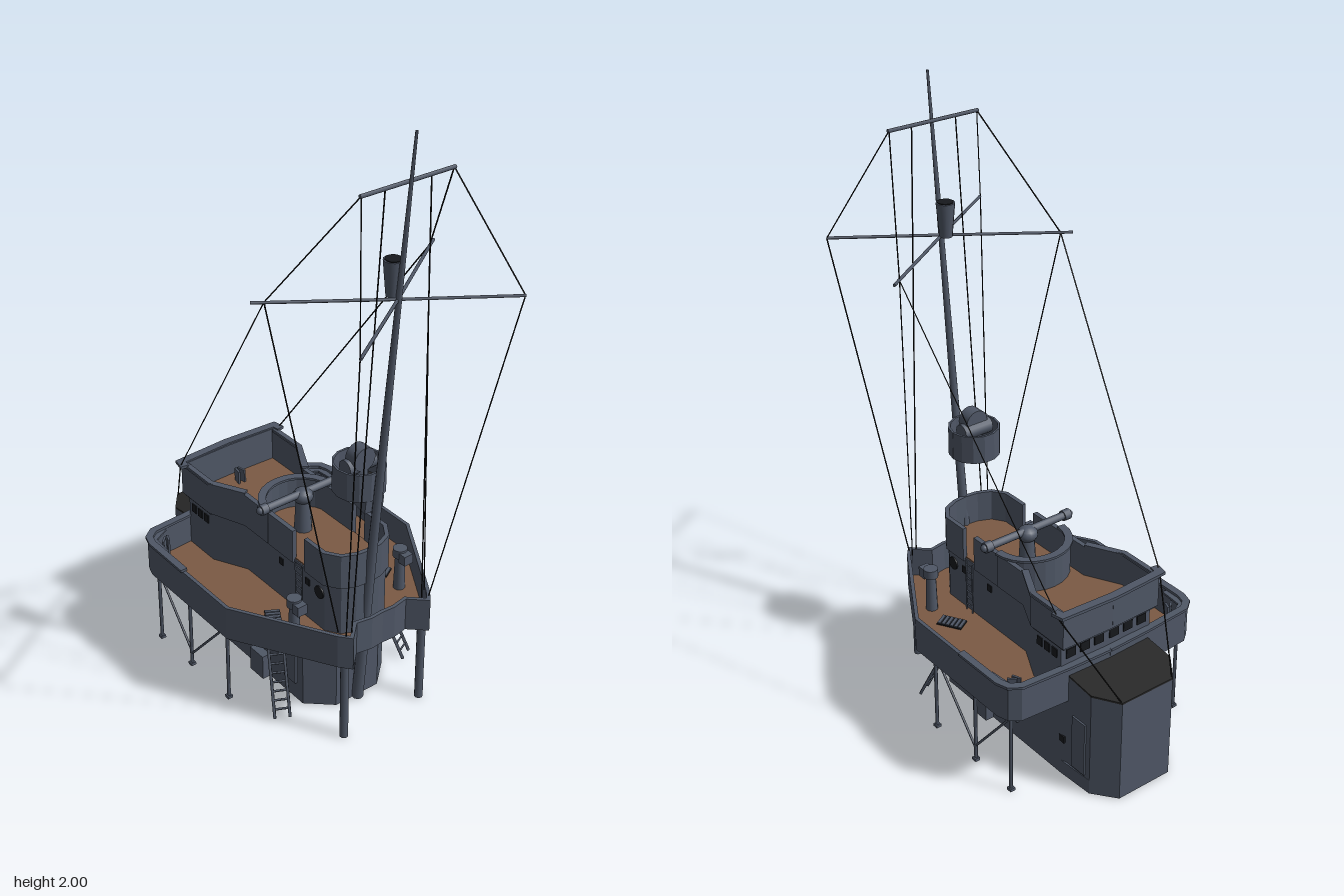
import * as THREE from 'three';

const mat = (name, color, side = THREE.FrontSide) => {
  const m = new THREE.MeshStandardMaterial({ color, side });
  m.name = name;
  return m;
};

export function createModel() {
  const grey = mat('hull grey', 0x4f5766);
  const wood = mat('deck wood', 0x7b5a44);
  const roof = mat('roof black', 0x262626);
  const dark = mat('opening dark', 0x17191d);
  const wire = mat('rigging black', 0x141414);
  const root = new THREE.Group();
  const V = (p) => new THREE.Vector3(...p);

  const add = (name, geo, m, x = 0, y = 0, z = 0) => {
    const mesh = new THREE.Mesh(geo, m);
    mesh.name = name;
    mesh.position.set(x, y, z);
    root.add(mesh);
    return mesh;
  };
  const box = (name, w, h, d, x, y, z, m = grey) => add(name, new THREE.BoxGeometry(w, h, d), m, x, y, z);
  const cyl = (name, r1, r2, h, x, y, z, m = grey, n = 12) => add(name, new THREE.CylinderGeometry(r1, r2, h, n), m, x, y, z);

  // straight rod between two points
  const rod = (name, a, b, r, m = grey, n = 6, r2 = r) => {
    const A = V(a), B = V(b), d = B.clone().sub(A);
    const mesh = add(name, new THREE.CylinderGeometry(r2, r, d.length(), n), m);
    mesh.position.copy(A).add(B).multiplyScalar(0.5);
    mesh.quaternion.setFromUnitVectors(new THREE.Vector3(0, 1, 0), d.normalize());
    return mesh;
  };

  // plan outline in [x, z] raised from y0 to y1, with optional holes and a height rule for the top
  const toPlan = (pts) => pts.map(([x, z]) => new THREE.Vector2(x, -z));
  const plate = (name, pts, y0, y1, m, holes = [], lift = null) => {
    const shape = new THREE.Shape(toPlan(pts));
    holes.forEach((h) => shape.holes.push(new THREE.Path(toPlan(h))));
    const geo = new THREE.ExtrudeGeometry(shape, { depth: y1 - y0, bevelEnabled: false });
    geo.rotateX(-Math.PI / 2).translate(0, y0, 0);
    if (lift) {
      const p = geo.attributes.position;
      for (let i = 0; i < p.count; i++) if (p.getY(i) > y0 + 1e-4 || y0 > 0.3) p.setY(i, p.getY(i) + lift(p.getZ(i)));
      geo.computeVertexNormals();
    }
    return add(name, geo, m);
  };

  // wall of a given thickness along a plan path, with mitred corners
  const wall = (name, pts, y0, y1, t, m = grey, lift = null) => {
    const side = (s) => pts.map(([x, z], i) => {
      const a = pts[Math.max(i - 1, 0)], b = pts[Math.min(i + 1, pts.length - 1)];
      const n = ([p, q], [u, v]) => new THREE.Vector2(q - v, u - p).normalize();
      const n1 = i ? n(a, [x, z]) : n([x, z], b);
      const n2 = i < pts.length - 1 ? n([x, z], b) : n1;
      const k = (s * t / 2) / Math.max(0.4, 1 + n1.dot(n2));
      return [x + (n1.x + n2.x) * k, z + (n1.y + n2.y) * k];
    });
    return plate(name, [...side(1), ...side(-1).reverse()], y0, y1, m, [], lift);
  };
  const flip = (pts) => pts.map(([x, z]) => [-x, z]);
  const mirror = (pts) => [...pts, ...flip(pts).reverse().filter(([x]) => x !== 0)];
  const rect = (w, z0, z1) => [[-w, z0], [w, z0], [w, z1], [-w, z1]];

  // lower deckhouse: hollow-bottomed base, core, rear block with sloping roof
  const hull = mirror([[0.085, 0.262], [0.165, 0.19], [0.165, -0.4], [0.158, -0.53], [0.1, -0.605]]);
  plate('deckhouseBase', hull, 0, 0.05, grey,
    [rect(0.14, -0.5, -0.36), rect(0.14, -0.31, -0.09), rect(0.14, -0.04, 0.17)]);
  plate('deckhouseCore', hull.map(([x, z]) => [x, Math.max(z, -0.42)]), 0.05, 0.3, grey);
  const rear = mirror([[0.158, -0.36], [0.158, -0.53], [0.1, -0.605]]);
  const slope = (z) => (z + 0.605) * 0.12;
  plate('rearHouse', rear, 0.05, 0.357, grey, [], slope);
  plate('rearRoof', rear, 0.357, 0.363, roof, [], slope);

  // lower deck and its bulwark
  const deck = [[0, 0.375], [0.045, 0.378], [0.1, 0.368], [0.153, 0.418], [0.18, 0.385], [0.366, 0.07],
    [0.366, -0.35], [0.355, -0.385], [0.325, -0.408], [0.15, -0.42], [0, -0.425]];
  plate('lowerDeckPlate', mirror(deck), 0.29, 0.3, grey);
  plate('lowerDeckPlanks', mirror(deck), 0.3, 0.306, wood);

  // bridge house, upper deck and bulwark
  const bridge = [[0, 0.31], [0.045, 0.305], [0.09, 0.285], [0.12, 0.24], [0.12, -0.165],
    [0.18, -0.28], [0.18, -0.425], [0, -0.43]];
  plate('bridgeHouse', mirror(bridge.map(([x, z]) => [x * 0.98, Math.max(z, -0.41)])), 0.306, 0.485, grey);
  plate('upperDeckPlate', mirror(bridge), 0.485, 0.494, grey);
  plate('upperDeckPlanks', mirror(bridge.map(([x, z]) => [x * 0.97, z * 0.98])), 0.494, 0.499, wood);
  const raise = (z) => 0.012 * THREE.MathUtils.clamp((-0.16 - z) / 0.09, 0, 1);
  const arc = [];
  for (let i = 0; i <= 12; i++) {
    const a = (i / 12) * Math.PI;
    arc.push([Math.cos(a) * 0.125, -0.035 - Math.sin(a) * 0.12]);
  }
  wall('directorTub', arc, 0.49, 0.606, 0.012);
  wall('directorTubLip', arc, 0.606, 0.614, 0.026);
  wall('bridgeRearLip', [[0.196, -0.4], [0.19, -0.432], [0, -0.442], [-0.19, -0.432], [-0.196, -0.4]], 0.61, 0.62, 0.028);

  for (const s of [-1, 1]) {
    const half = (pts) => (s > 0 ? pts : flip(pts));
    const P = (x, y, z) => [s * x, y, z];

    wall('lowerBulwark', half(deck), 0.29, 0.408, 0.012);
    wall('lowerBulwarkLip', half([[0.367, -0.165], ...deck.slice(6)]), 0.408, 0.417, 0.024);
    plate('cornerShelf', half([[0.36, -0.29], [0.36, -0.35], [0.345, -0.385], [0.31, -0.405], [0.27, -0.405], [0.335, -0.37], [0.342, -0.29]]), 0.398, 0.405, grey);

    // bridge bulwark with a side gap
    wall('bridgeFrontBulwark', half([[0, 0.31], [0.045, 0.305], [0.09, 0.285], [0.12, 0.24], [0.12, 0.148]]), 0.485, 0.606, 0.014);
    wall('bridgeSideBulwark', half([[0.12, 0.09], [0.12, -0.165], [0.18, -0.28], [0.18, -0.425], [0, -0.43]]), 0.485, 0.604, 0.016, grey,
      (z) => raise(z) - 0.001);
    wall('bridgeSideLip', half([[0.12, -0.165], [0.18, -0.28], [0.18, -0.41]]), 0.606, 0.613, 0.022);

    // deck supports and braces
    rod('frontPost', P(0.155, 0, 0.388), P(0.155, 0.29, 0.388), 0.014, grey, 10);
    for (const z of [0.02, -0.19, -0.37]) {
      rod('sidePost', P(0.335, 0, z), P(0.335, 0.29, z), 0.006);
      box('postFoot', 0.018, 0.01, 0.018, s * 0.335, 0.005, z);
    }
    for (const z of [0, -0.36]) rod('postBrace', P(0.335, 0.265, z), P(0.335, 0.05, -0.185), 0.004);

    // inclined ladder and its deck hatch
    const foot = V(P(0.258, 0, 0.205)), head = V(P(0.198, 0.295, 0.08));
    const across = V(P(0.022, 0, -0.011));
    for (const k of [-1, 1]) {
      const o = across.clone().multiplyScalar(k);
      rod('ladderRail', foot.clone().add(o).toArray(), head.clone().add(o).toArray(), 0.006, grey, 4);
    }
    for (let i = 1; i < 11; i++) {
      const c = foot.clone().lerp(head, i / 11);
      rod('ladderRung', c.clone().sub(across).toArray(), c.clone().add(across).toArray(), 0.004, grey, 4);
    }
    const hatch = new THREE.Group();
    hatch.name = 'ladderHatch';
    const hatchPart = (w, h, d, y, z, m) => {
      const b = new THREE.Mesh(new THREE.BoxGeometry(w, h, d), m);
      b.position.set(0, y, z);
      hatch.add(b);
    };
    hatchPart(0.05, 0.004, 0.085, 0, 0, dark);
    for (let i = 0; i < 6; i++) hatchPart(0.046, 0.004, 0.01, 0.003, -0.036 + i * 0.0144, grey);
    hatch.position.set(s * 0.212, 0.309, 0.1);
    hatch.rotation.y = s * 0.53;
    root.add(hatch);

    // lookout sights and small chocks on the lower deck
    cyl('sightPedestal', 0.016, 0.02, 0.13, s * 0.213, 0.37, 0.21);
    cyl('sightHead', 0.024, 0.024, 0.03, s * 0.213, 0.445, 0.21);
    box('sightBox', 0.035, 0.035, 0.03, s * 0.213, 0.435, 0.238);
    for (const k of [-1, 1]) {
      const c = box('deckChock', 0.007, 0.1, 0.03, s * 0.31 + k * 0.008, 0.356, -0.355);
      c.rotation.y = s * 0.6 + k * 0.2;
      box('bridgeChock', 0.007, 0.05, 0.032, k * 0.008, 0.52, -0.37).rotation.y = k * 0.2;
    }

    // doors, lockers, ports and side steps
    box('sideLocker', 0.03, 0.09, 0.07, s * 0.18, 0.045, -0.02);
    box('sideDoor', 0.012, 0.17, 0.06, s * 0.167, 0.15, 0.13);
    box('sideDoorAft', 0.012, 0.17, 0.06, s * 0.167, 0.15, -0.16);
    box('rearDoor', 0.012, 0.19, 0.06, s * 0.158, 0.155, -0.48);
    box('sidePort', 0.006, 0.024, 0.024, s * 0.164, 0.137, -0.405, dark);
    for (const z of [0.155, 0.02]) box('bridgePort', 0.006, 0.024, 0.02, s * 0.118, 0.445, z, dark);
    cyl('roundPort', 0.022, 0.022, 0.012, s * 0.116, 0.44, 0.215, dark, 16).rotation.z = Math.PI / 2;
    for (const z of [-0.31, -0.345, -0.38]) box('rearSideWindow', 0.006, 0.03, 0.024, s * 0.177, 0.455, z, dark);
    for (const x of [0.03, 0.085, 0.14]) box('rearWindow', 0.036, 0.032, 0.006, s * x, 0.455, -0.411, dark);
    for (const z of [0.103, 0.135]) rod('stepRail', P(0.126, 0.306, z), P(0.126, 0.49, z), 0.003, grey, 4);
    for (let y = 0.33; y < 0.49; y += 0.025) rod('stepRung', P(0.126, y, 0.103), P(0.126, y, 0.135), 0.003, grey, 4);

    // rangefinder end caps
    cyl('rangefinderCap', 0.018, 0.018, 0.025, s * 0.155, 0.636, -0.022).rotation.z = Math.PI / 2;
    add('rangefinderEye', new THREE.SphereGeometry(0.013, 10, 8), grey, s * 0.168, 0.636, -0.022);

    // yard arms
    rod('yardArmFront', [0, 1.495, 0.405], P(0.293, 1.495, 0.602), 0.005);
    rod('yardArmRear', [0, 1.495, 0.405], P(0.332, 1.495, 0.175), 0.005);

    // rigging
    const top = P(0.16, 1.852, 0.433), fore = P(0.293, 1.495, 0.6), aft = P(0.3, 1.495, 0.195);
    const corner = P(0.2, 0.61, -0.42);
    [[top, fore], [top, aft], [fore, P(0.165, 0.41, 0.405)], [aft, P(0.172, 0.41, 0.375)],
      [aft, corner], [corner, P(0.1, 0.362, -0.6)], [P(0.08, 1.852, 0.433), P(0.14, 0.41, 0.4)],
    ].forEach(([a, b]) => rod('rigging', a, b, 0.0022, wire, 4));
  }

  // rangefinder in the tub
  cyl('rangefinderPedestal', 0.022, 0.03, 0.14, 0, 0.565, -0.022);
  add('rangefinderHub', new THREE.SphereGeometry(0.034, 14, 10), grey, 0, 0.625, -0.022).scale.y = 0.8;
  cyl('rangefinderTube', 0.013, 0.013, 0.32, 0, 0.636, -0.022).rotation.z = Math.PI / 2;

  // raking mast, top yard and lookout bucket
  rod('mast', [0, 0, 0.265], [0, 1.5, 0.409], 0.02, grey, 10, 0.009);
  rod('topmast', [0, 1.5, 0.409], [0, 2, 0.458], 0.009, grey, 8, 0.004);
  rod('topYard', [-0.165, 1.852, 0.433], [0.165, 1.852, 0.433], 0.006);
  cyl('lookoutBucket', 0.03, 0.02, 0.11, 0, 1.553, 0.382);
  cyl('lookoutFloor', 0.025, 0.025, 0.004, 0, 1.609, 0.382, dark);

  // director drum on the mast
  const ring = [];
  for (let i = 0; i <= 14; i++) {
    const a = (i / 14) * Math.PI * 2;
    ring.push([Math.cos(a) * 0.08, 0.253 + Math.sin(a) * 0.08]);
  }
  wall('drumWall', ring, 0.8, 0.895, 0.007);
  plate('drumFloor', ring.slice(0, 14), 0.801, 0.808, grey);
  plate('drumFloorCover', ring.slice(0, 14).map(([x, z]) => [x * 0.96, 0.253 + (z - 0.253) * 0.96]), 0.808, 0.813, roof);
  const wedge = new THREE.Shape([[-0.33, 0.8], [-0.2, 0.8], [-0.23, 0.778], [-0.325, 0.755]].map((p) => new THREE.Vector2(...p)));
  add('drumBracket', new THREE.ExtrudeGeometry(wedge, { depth: 0.07, bevelEnabled: false })
    .rotateY(Math.PI / 2).translate(-0.035, 0, 0), grey);
  cyl('drumPedestal', 0.025, 0.03, 0.09, 0, 0.85, 0.255);
  cyl('drumSight', 0.028, 0.028, 0.105, 0, 0.885, 0.25).rotation.z = Math.PI / 2;
  cyl('drumLamp', 0.04, 0.04, 0.045, 0, 0.912, 0.258, grey, 16).rotation.x = Math.PI / 2;

  return root;
}
